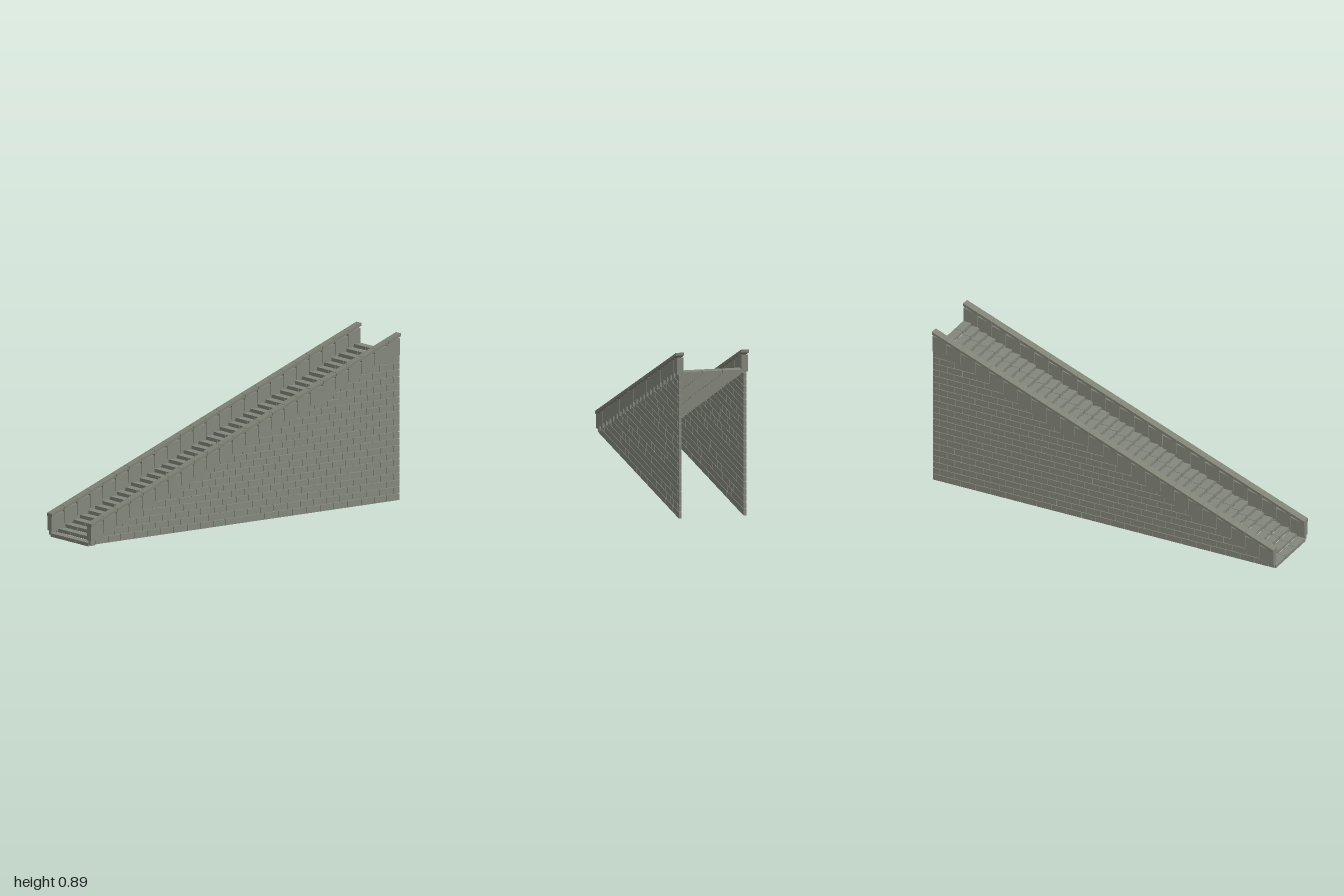
import * as THREE from 'three';
import { mergeGeometries } from 'three/addons/utils/BufferGeometryUtils.js';

const STEPS = 42, RISE = 0.785 / STEPS, RUN = 2 / STEPS;
const SLOPE = 0.385, GAP = 0.003;

// underside of the coping along the slope
const copingBase = (z) => 0.105 + SLOPE * (1 - z);

// box given by its limits; shear lifts it towards the back
function block(x0, x1, y0, y1, z0, z1, shear = null) {
  const g = new THREE.BoxGeometry(x1 - x0, y1 - y0, z1 - z0);
  g.translate((x0 + x1) / 2, (y0 + y1) / 2, (z0 + z1) / 2);
  if (shear) {
    const p = g.attributes.position;
    for (let i = 0; i < p.count; i++) {
      p.setY(i, p.getY(i) + shear(p.getY(i), z1 - p.getZ(i)));
    }
  }
  const flat = g.toNonIndexed();
  flat.computeVertexNormals();
  return flat;
}

function seeded(seed) {
  return () => {
    seed = (seed * 16807) % 2147483647;
    return seed / 2147483647;
  };
}

export function createModel() {
  const model = new THREE.Group();
  model.name = 'stoneStaircase';
  const stone = new THREE.MeshStandardMaterial({ color: 0x84877c });
  stone.name = 'grey stone';
  const capStone = new THREE.MeshStandardMaterial({ color: 0x7f8275 });
  capStone.name = 'coping stone';

  const add = (name, parts, material) => {
    const mesh = new THREE.Mesh(mergeGeometries(parts), material);
    mesh.name = name;
    model.add(mesh);
  };

  // three slabs across each step, hollow underneath
  const treads = [];
  const columns = [[-0.163, -0.0545], [-0.0545, 0.0545], [0.0545, 0.163]];
  for (let i = 0; i < STEPS; i++) {
    const top = RISE * (i + 1), front = 1 - i * RUN;
    for (const [a, b] of columns) {
      treads.push(block(a + GAP / 2, b - GAP / 2, top - RISE, top - 0.0005,
        front - RUN + 0.001, front));
    }
  }
  add('stepSlabs', treads, stone);

  for (const side of [-1, 1]) {
    const label = side > 0 ? 'left' : 'right';
    const span = (a, b) => (side > 0 ? [a, b] : [-b, -a]);

    // thin brick side wall, each course ending below the parapet
    const bricks = [];
    const random = seeded(41);
    const [wx0, wx1] = span(0.1635, 0.178);
    const rowH = 0.0363, length = 0.085;
    for (let r = 0; r < 22; r++) {
      const y0 = 0.009 + r * rowH, y1 = Math.min(y0 + rowH - GAP, 0.79);
      if (y1 - y0 < 0.008) continue;
      // where the course top meets the middle of the parapet blocks
      const front = Math.min(1, 1 - (y1 + 0.035 - 0.105) / SLOPE);
      let z = -1;
      let len = r % 2 ? length / 2 : length;
      while (z < front - 0.012) {
        const end = Math.min(z + len, front);
        bricks.push(block(wx0, wx1, y0, y1, z, end - GAP));
        z = end;
        len = length * (0.94 + 0.12 * random());
      }
    }
    add(label + 'BrickWall', bricks, stone);

    // parapet blocks stepping up the slope, tops slightly inclined
    const blocks = [];
    const [bx0, bx1] = span(0.153, 0.187);
    const COUNT = 24, bl = 2 / COUNT;
    for (let i = 0; i < COUNT; i++) {
      const z1 = 1 - i * bl, top = copingBase(z1) + 0.001;
      const mid = top - 0.04;
      blocks.push(block(bx0, bx1, top - 0.075, top, z1 - bl + GAP, z1,
        (y, back) => back * SLOPE * (y > mid ? 0.6 : 0.1)));
    }
    add(label + 'ParapetBlocks', blocks, stone);

    // sloping coping stones along the top
    const caps = [];
    const [cx0, cx1] = span(0.15, 0.193);
    const CAPS = 24, cl = 2 / CAPS;
    for (let i = 0; i < CAPS; i++) {
      const z1 = 1 - i * cl, base = copingBase(z1);
      caps.push(block(cx0, cx1, base, base + 0.0155, z1 - cl + 0.0015, z1,
        (y, back) => back * SLOPE));
    }
    add(label + 'Coping', caps, capStone);
  }
  return model;
}
